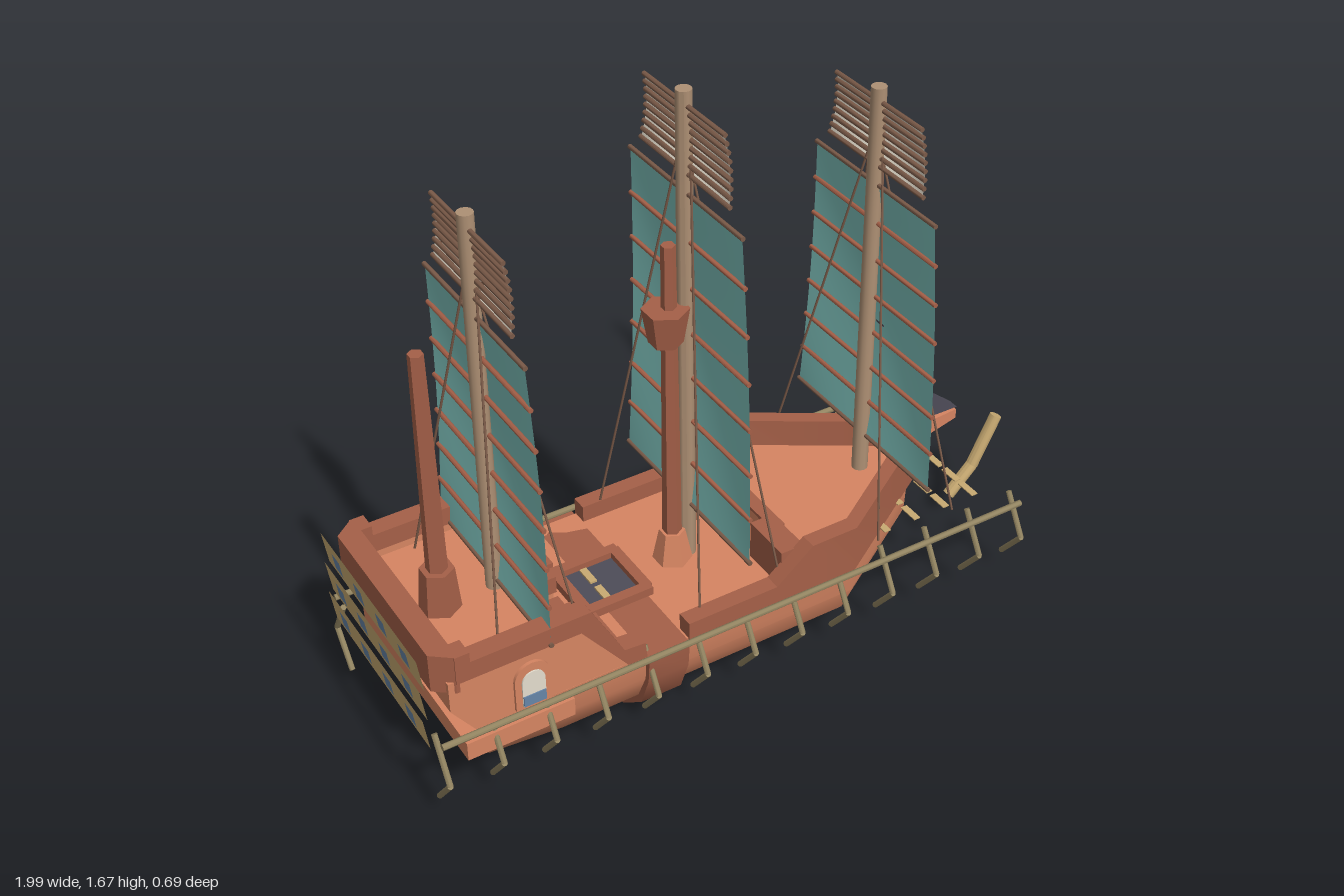
import * as THREE from 'three';
import { toCreasedNormals } from 'three/addons/utils/BufferGeometryUtils.js';

const mat = (name, color, side = THREE.FrontSide) => {
  const m = new THREE.MeshStandardMaterial({ color, side });
  m.name = name;
  return m;
};

export function createModel() {
  const root = new THREE.Group();
  root.name = 'sailingShip';
  const M = {
    hull: mat('hullWood', 0xd68562), trim: mat('darkTrim', 0xa56048),
    mast: mat('mastWood', 0xae9074), teal: mat('tealCanvas', 0x7fc2bc, THREE.DoubleSide),
    cream: mat('creamCanvas', 0xe4ddcd, THREE.DoubleSide), slate: mat('slate', 0x4e4c58),
    oar: mat('oarWood', 0x918360), tan: mat('tanWood', 0xc8aa72, THREE.DoubleSide),
    rope: mat('ropeAndYard', 0x7a5a48), blue: mat('blueGlass', 0x6685a8, THREE.DoubleSide),
  };
  const V = (x, y, z) => new THREE.Vector3(x, y, z);

  // gentle curves are smooth, edges stay sharp
  const add = (name, geo, m, parent = root) => {
    const mesh = new THREE.Mesh(toCreasedNormals(geo, .6), m);
    mesh.name = name;
    parent.add(mesh);
    return mesh;
  };
  const box = (name, m, x0, x1, y0, y1, z0, z1) => add(name,
    new THREE.BoxGeometry(x1 - x0, y1 - y0, z1 - z0)
      .translate((x0 + x1) / 2, (y0 + y1) / 2, (z0 + z1) / 2), m);
  const rod = (name, m, a, b, r0, r1 = r0, sides = 12) => {
    const d = b.clone().sub(a);
    const g = new THREE.CylinderGeometry(r1, r0, d.length(), sides);
    g.applyQuaternion(new THREE.Quaternion().setFromUnitVectors(V(0, 1, 0), d.normalize()));
    return add(name, g.translate((a.x + b.x) / 2, (a.y + b.y) / 2, (a.z + b.z) / 2), m);
  };
  const slab = (name, m, pts, z0, z1) => add(name,
    new THREE.ExtrudeGeometry(new THREE.Shape(pts.map(p => new THREE.Vector2(...p))),
      { depth: z1 - z0, bevelEnabled: false }).translate(0, 0, z0), m);

  // closed solid through equal cross-sections, turned outward by its signed volume
  const loft = (name, m, rings) => {
    const n = rings[0].length, tris = [], last = rings.length - 1;
    for (let i = 0; i < last; i++) for (let j = 0; j < n; j++) {
      const a = rings[i][j], b = rings[i][(j + 1) % n], c = rings[i + 1][(j + 1) % n], d = rings[i + 1][j];
      // mirrored diagonals keep both sides alike
      if (j < n / 2) tris.push([a, b, d], [b, c, d]);
      else tris.push([a, b, c], [a, c, d]);
    }
    for (let j = 1; j < n - 1; j++) {
      tris.push([rings[0][0], rings[0][j + 1], rings[0][j]]);
      tris.push([rings[last][0], rings[last][j], rings[last][j + 1]]);
    }
    const vol = tris.reduce((s, [a, b, c]) => s + V(...a).dot(V(...b).cross(V(...c))), 0);
    const pos = tris.flatMap(([a, b, c]) => (vol < 0 ? [a, c, b] : [a, b, c])).flat();
    const g = new THREE.BufferGeometry();
    g.setAttribute('position', new THREE.Float32BufferAttribute(pos, 3));
    return add(name, g, m);
  };
  // full-width ring from [x, y, halfWidth] levels, keel upward
  const ring = levels => [...levels, ...levels.slice().reverse().map(([x, y, w]) => [x, y, -w])];

  // Hull and the broad rib wrapped around it
  const section = (x, o = 0) => ring([[x, .03 - o * 2, .15 + o], [x, .1 - o, .25 + o], [x, .19, .29 + o], [x, .275, .298 + o]]);
  loft('hull', M.hull, [
    ring([[-.79, .03, .14], [-.8, .1, .23], [-.82, .19, .275], [-.85, .275, .295]]),
    section(-.6), section(.27),
    ring([[.63, .14, .04], [.63, .165, .045], [.63, .21, .048], [.63, .275, .055]]),
  ]);
  loft('hullRib', M.trim, [section(-.375, .015), section(-.255, .015)]);
  box('sternLedge', M.hull, -.89, -.59, .19, .245, -.308, .308);

  // Raised foredeck with a step, and the bowsprit
  loft('foredeck', M.hull, [
    ring([[.13, .26, .28], [.13, .33, .28]]), ring([[.27, .26, .28], [.27, .33, .28]]),
    ring([[.63, .26, .04], [.63, .33, .04]])]);
  box('foredeckStep', M.trim, .13, .17, .27, .34, -.11, .11);
  loft('bowsprit', M.hull, [
    ring([[.58, .35, .04], [.58, .42, .04]]), ring([[.82, .38, .015], [.82, .41, .015]])]);

  // Stern castle with chamfered stern rail
  slab('castle', M.hull, [[-.85, .26], [-.92, .36], [-.92, .42], [-.58, .42], [-.58, .26]], -.29, .29);
  box('cabin', M.hull, -.6, -.53, .26, .43, -.1, .1);
  loft('sternRail', M.trim, [.415, .53].map(y =>
    [[-.95, y, .26], [-.9, y, .3], [-.89, y, .3], [-.89, y, -.3], [-.9, y, -.3], [-.95, y, -.26]]));
  box('helmBox', M.trim, -.6, -.565, .43, .54, -.035, .035);
  box('cabinRail', M.trim, -.55, -.525, .42, .47, -.11, .11);

  // Arched outline used by door and windows
  const arch = (w, h) => {
    const s = new THREE.Shape();
    s.moveTo(-w, 0).lineTo(w, 0).lineTo(w, h - w).absarc(0, h - w, w, 0, Math.PI, false).lineTo(-w, 0);
    return s;
  };
  const archPlate = (name, m, w, h, depth) =>
    add(name, new THREE.ExtrudeGeometry(arch(w, h), { depth, bevelEnabled: false, curveSegments: 6 }), m);
  for (const [n, m, w, h, d] of [['doorFrame', M.trim, .05, .125, .012], ['door', M.slate, .035, .1, .017]]) {
    const p = archPlate(n, m, w, h, d);
    p.rotation.y = Math.PI / 2;
    p.position.set(-.532, .275, 0);
  }

  for (const s of [1, -1]) {
    const both = (a, b) => (s > 0 ? [a, b] : [-b, -a]);
    // Bulwarks
    loft('bowBulwark', M.trim, [[-.25, .325, .302, .255], [.02, .325, .302, .255], [.13, .415, .302, .255],
      [.27, .415, .302, .255], [.65, .415, .06, .01]].map(([x, y, o, i]) =>
      [[x, .27, s * o], [x, y, s * o], [x, y, s * i], [x, .27, s * i]]));
    slab('castleWall', M.hull, [[-.85, .26], [-.92, .36], [-.92, .45], [-.55, .45], [-.41, .27]], ...both(.255, .297));
    slab('castleTrim', M.trim, [[-.9, .53], [-.9, .445], [-.56, .445], [-.43, .275], [-.375, .275], [-.38, .325],
      [-.44, .33], [-.53, .5], [-.86, .5], [-.86, .53]], ...both(.25, .303));
    box('foredeckRail', M.trim, .06, .13, .27, .39, ...both(.11, .26));
    // Stairs up to the castle
    for (let i = 0; i < 4; i++)
      box('stair', M.trim, -.6, -.42 - i * .035, .27 + i * .035, .305 + i * .035, ...both(.115, .245));

    // Side window with a blue lower pane
    for (const [n, m, w, h, y, d] of [['windowFrame', M.hull, .05, .14, .28, .016],
      ['windowPane', M.cream, .032, .105, .29, .02]]) {
      const p = archPlate(n, m, w, h, d);
      p.position.set(-.7, y, s > 0 ? .29 : -.29 - d);
    }
    box('windowBlue', M.blue, -.731, -.669, .291, .323, ...both(.306, .313));

    // Outrigger rail with bent oars
    rod('oarRail', M.oar, V(-.96, .282, s * .32), V(.82, .276, s * .32), .009);
    for (let i = 0; i < 13; i++) {
      const x = -.957 + i * .148;
      rod('oarUpper', M.oar, V(x, .285, s * .27), V(x, .165, s * .34), .008);
      rod('oarLower', M.oar, V(x, .165, s * .34), V(x, .067, s * .265), .008);
    }
  }

  // Bent sweep ahead of the bow
  rod('bowSweepLower', M.tan, V(.83, .085, 0), V(.91, .165, 0), .018);
  rod('bowSweepUpper', M.tan, V(.91, .165, 0), V(.985, .315, 0), .018);

  // Flat slats beneath the bowsprit, in dashes
  for (let i = 0; i < 5; i++) for (let j = 0; j < 7; j++)
    box('bowSlat', M.tan, .325 + i * .1, .345 + i * .1, .275, .278, -.3 + j * .077, -.237 + j * .077);

  // Stern gallery: three tilted tiers with windows
  for (let t = 0; t < 3; t++) {
    const tier = new THREE.Group();
    tier.name = 'sternGallery';
    tier.position.set(-.98, .3 + t * .097, 0);
    tier.rotation.y = -Math.PI / 2;
    const tilt = new THREE.Group();
    tilt.name = 'galleryTier';
    tilt.rotation.x = .13;
    tier.add(tilt);
    root.add(tier);
    add('galleryPanel', new THREE.PlaneGeometry(.56, .1), M.tan, tilt);
    for (let i = 0; i < 4; i++)
      add('galleryWindow', new THREE.PlaneGeometry(.046, .05).translate(-.195 + i * .13, 0, .003), M.blue, tilt);
  }

  // Deck hatch with a ladder
  for (const s of [1, -1]) {
    box('hatchFrame', M.trim, -.44, -.24, .27, .3, s * .09 - .015, s * .09 + .015);
    box('hatchFrame', M.trim, -.34 + s * .09 - .015, -.34 + s * .09 + .015, .27, .3, -.09, .09);
    box('hatchLadder', M.tan, -.365, -.345, .282, .288, s * .04 - .03, s * .04 + .03);
  }
  box('hatchOpening', M.slate, -.42, -.26, .272, .281, -.08, .08);

  // Lookout pole with crow's nest, and stern pole
  rod('lookoutPole', M.trim, V(-.118, .27, 0), V(-.118, 1.26, 0), .027, .019, 6);
  rod('lookoutBase', M.hull, V(-.118, .27, 0), V(-.118, .37, 0), .055, .035, 6);
  rod('crowsNest', M.trim, V(-.128, .98, 0), V(-.128, 1.08, 0), .045, .062, 6);
  rod('sternPole', M.trim, V(-.797, .42, 0), V(-.797, 1.19, 0), .03, .02, 6);
  rod('sternPoleBase', M.trim, V(-.797, .42, 0), V(-.797, .545, 0), .055, .045, 6);

  // Canvas bulging forward, with straight battens behind it between two yards
  const sail = (name, m, x, y0, y1, w0, w1, bulge, battens, battenMat) => {
    const g = new THREE.PlaneGeometry(2, 1, 10, 12), p = g.attributes.position;
    for (let i = 0; i < p.count; i++) {
      const u = p.getX(i), v = p.getY(i) + .5;
      p.setXYZ(i, x + bulge * Math.sin(Math.PI * v) * (1 - .8 * u * u),
        y0 + (y1 - y0) * v, -u * (w0 + (w1 - w0) * v));
    }
    add(name, g, m);
    for (let i = 0; i <= battens; i++) {
      const v = i / battens, w = w0 + (w1 - w0) * v + .004;
      const bx = x + bulge * .18 * Math.sin(Math.PI * v), y = y0 + (y1 - y0) * v;
      const yard = i === 0 || i === battens;
      rod(name + (yard ? 'Yard' : 'Batten'), yard ? M.rope : battenMat, V(bx, y, -w), V(bx, y, w), .0065);
    }
  };

  // Masts, sails and stays
  for (const [x, base, top] of [[-.645, .4, 1.52], [-.07, .27, 1.67], [.497, .3, 1.52]]) {
    rod('mast', M.mast, V(x, base, 0), V(x, top, 0), .023, .021);
    sail('mainSail', M.teal, x, .45, top - .275, .305, .256, .046, 7, M.trim);
    sail('topSail', M.cream, x, top - .22, top - .04, .2, .178, .045, 8, M.rope);
    for (const sx of [1, -1]) for (const sz of [1, -1])
      rod('stay', M.rope, V(x, top - .19, sz * .03), V(x + sx * .125, .3, sz * .265), .0032);
  }

  // Dark triangular headsail
  const jib = new THREE.Shape();
  jib.moveTo(.53, .425).lineTo(.82, .42).quadraticCurveTo(.65, .54, .54, .8).quadraticCurveTo(.58, .63, .53, .425);
  add('headsail', new THREE.ExtrudeGeometry(jib, { depth: .034, bevelEnabled: false, curveSegments: 5 })
    .translate(0, 0, -.017), M.slate);

  return root;
}
